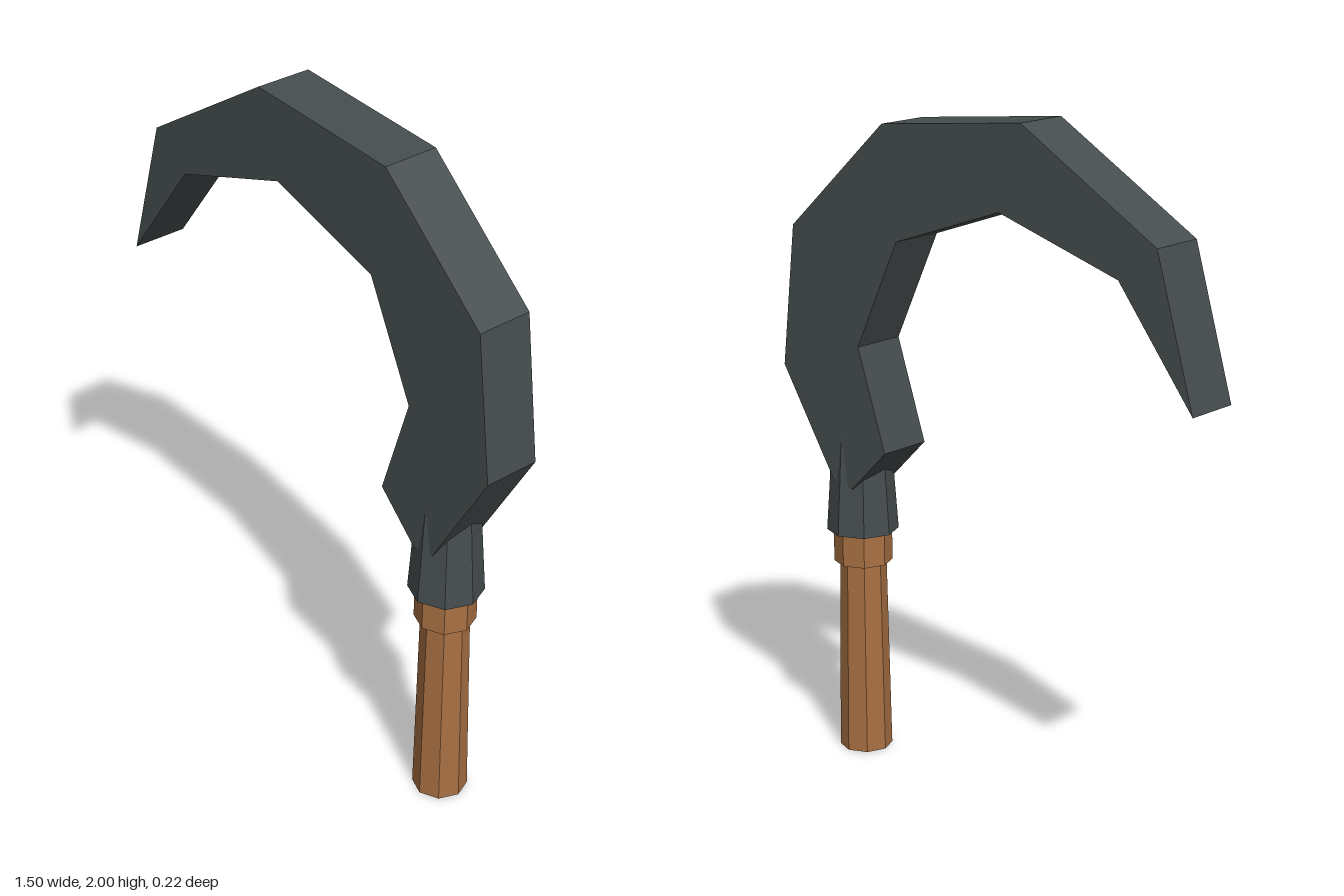
import * as THREE from 'three';

const AXIS_X = 0.52; // the handle sits off centre, under the hook

export function createModel() {
  const model = new THREE.Group();
  model.name = 'sickle';

  const wood = new THREE.MeshStandardMaterial({ color: 0xa87043, flatShading: true });
  wood.name = 'brown wood';
  const iron = new THREE.MeshStandardMaterial({ color: 0x464d4e, flatShading: true });
  iron.name = 'dark iron';

  // Eight-sided tapered sleeve on the handle axis
  const sleeve = (name, y0, y1, r0, r1, material) => {
    const mesh = new THREE.Mesh(new THREE.CylinderGeometry(r1, r0, y1 - y0, 8), material);
    mesh.name = name;
    mesh.position.set(AXIS_X, (y0 + y1) / 2, 0);
    model.add(mesh);
  };
  sleeve('handle', 0, 0.6, 0.08, 0.07, wood);
  sleeve('handleCollar', 0.6, 0.7, 0.088, 0.088, wood);
  sleeve('bladeSocket', 0.7, 1.03, 0.108, 0.085, iron);

  // Hooked blade: outer curve from the tip to the socket, then back along the inside
  const outline = [
    [-0.75, 1.29], [-0.625, 1.72], [-0.165, 2.0], [0.34, 1.95], [0.7, 1.62], [0.75, 1.19],
    [0.55, 0.86], [0.48, 0.85], [0.345, 0.985], [0.445, 1.29], [0.29, 1.62], [-0.09, 1.75], [-0.5, 1.62],
  ];
  const depth = 0.174;
  const shape = new THREE.Shape(outline.map(([x, y]) => new THREE.Vector2(x, y)));
  const bladeGeometry = new THREE.ExtrudeGeometry(shape, { depth, bevelEnabled: false });
  bladeGeometry.translate(0, 0, -depth / 2);
  const blade = new THREE.Mesh(bladeGeometry, iron);
  blade.name = 'blade';
  model.add(blade);

  return model;
}
